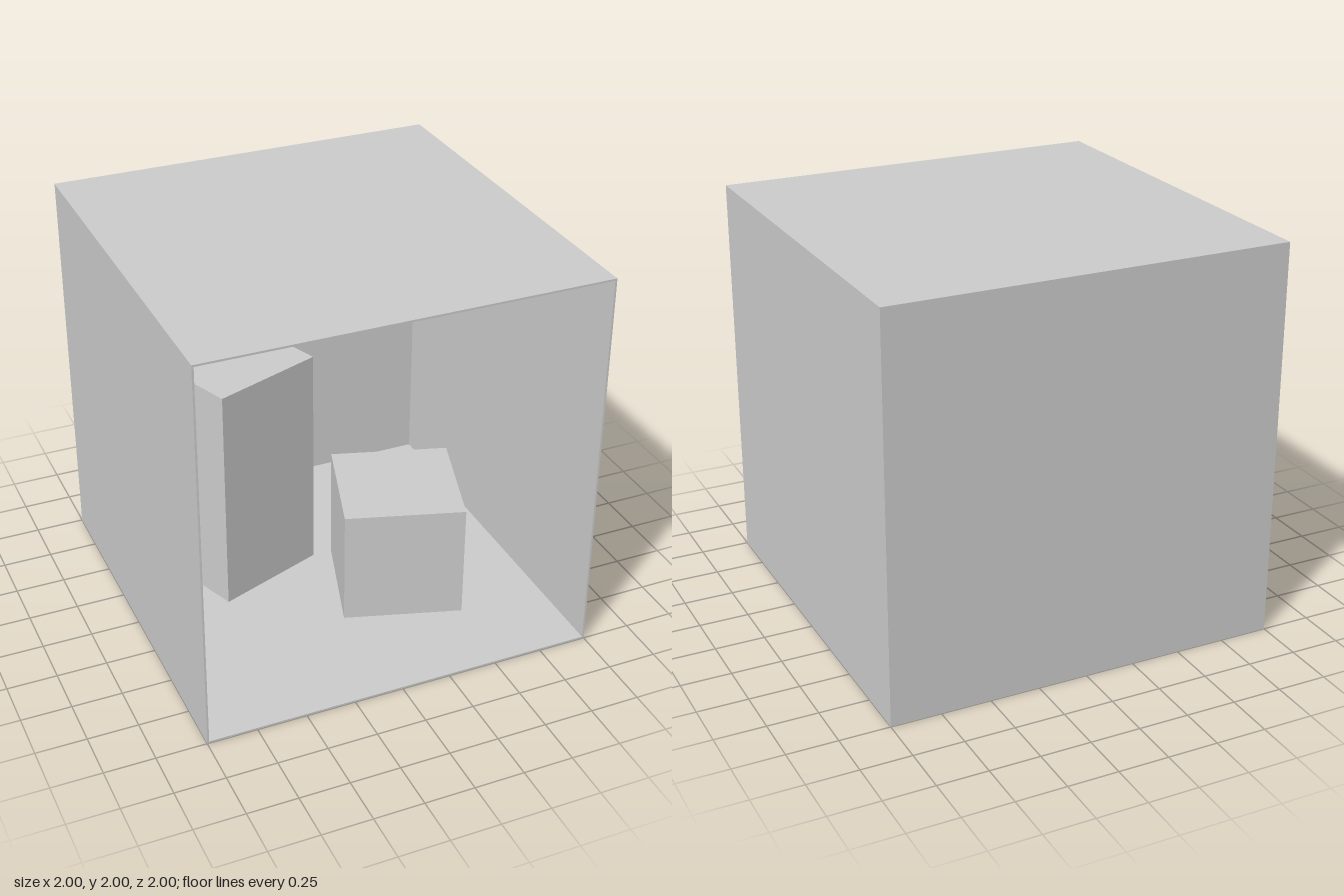
import * as THREE from 'three';

export function createModel() {
  const room = new THREE.Group();
  room.name = 'room';
  const material = new THREE.MeshStandardMaterial({ color: 0xcccccc, flatShading: true });
  const t = 0.01; // panel thickness

  function addBox(name, size, position, turn = 0) {
    const mesh = new THREE.Mesh(new THREE.BoxGeometry(...size), material);
    mesh.name = name;
    mesh.position.set(...position);
    mesh.rotation.y = turn;
    room.add(mesh);
  }

  // Floor, ceiling and back wall
  addBox('floor', [2, t, 2], [0, t / 2, 0]);
  addBox('ceiling', [2, t, 2], [0, 2 - t / 2, 0]);
  addBox('backWall', [2, 2 - 2 * t, t], [0, 1, -1 + t / 2]);

  // Side walls, leaving the front open
  for (const [name, side] of [['leftWall', 1], ['rightWall', -1]]) {
    addBox(name, [t, 2 - 2 * t, 2 - t], [side * (1 - t / 2), 1, t / 2]);
  }

  // Two turned blocks standing on the floor
  const w = 0.603;
  addBox('tallBlock', [w, 2 * w, w], [-0.353, t + w, -0.355], 0.36);
  addBox('shortBlock', [w, w, w], [0.338, t + w / 2, 0.191], -0.3);

  return room;
}
